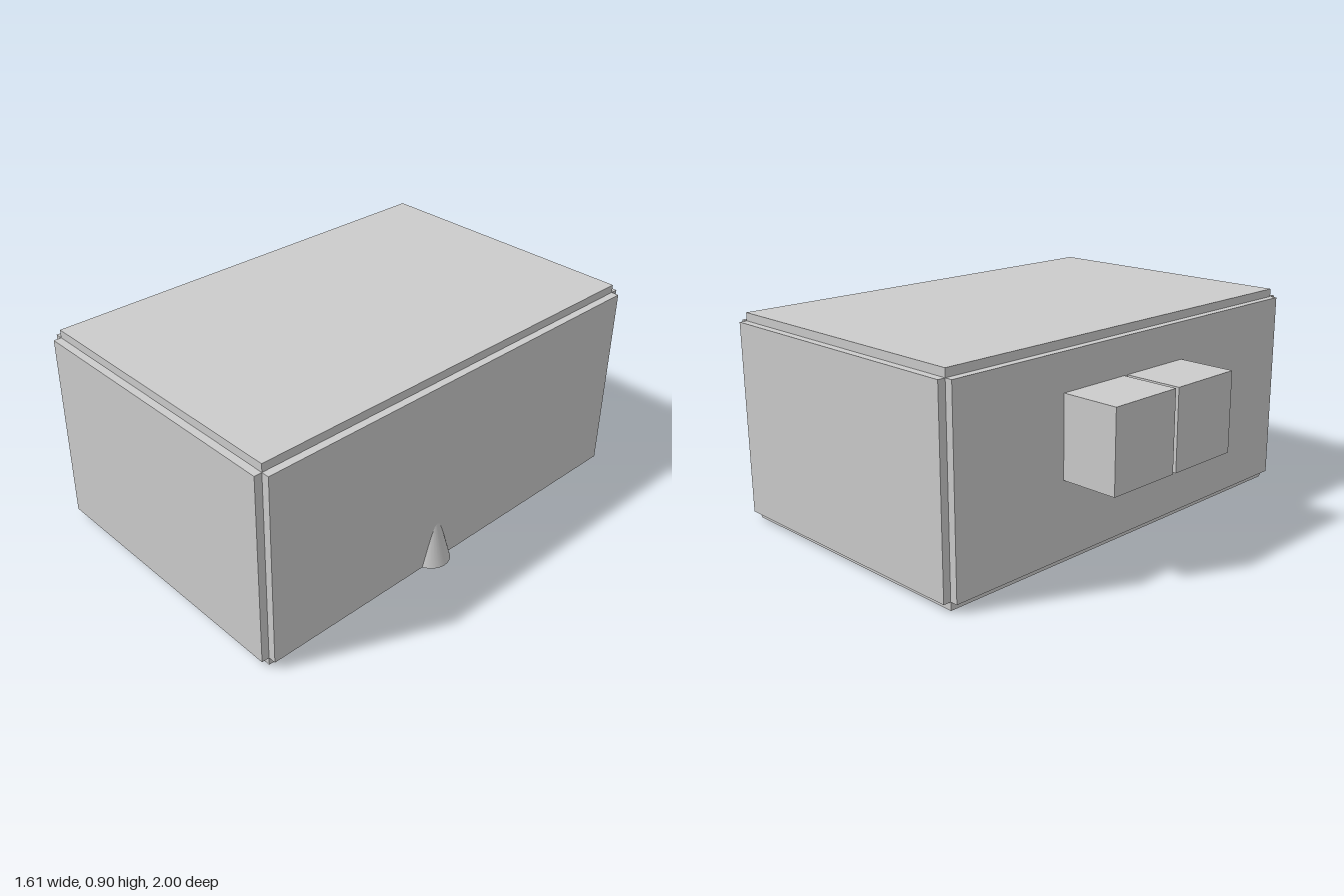
import * as THREE from 'three';

const material = new THREE.MeshStandardMaterial({ color: 0xcccccc });

// Box given by its minimum and maximum corners
function box(name, [x0, y0, z0], [x1, y1, z1]) {
  const mesh = new THREE.Mesh(new THREE.BoxGeometry(x1 - x0, y1 - y0, z1 - z0), material);
  mesh.name = name;
  mesh.position.set((x0 + x1) / 2, (y0 + y1) / 2, (z0 + z1) / 2);
  return mesh;
}

export function createModel() {
  const group = new THREE.Group();
  group.name = 'room';

  // Inner extents of the room and panel thickness
  const x0 = -0.52, x1 = 0.72, y0 = 0.035, y1 = 0.865, z = 0.967, t = 0.033;

  // Six panels that meet only along their inner edges, leaving stepped corners
  group.add(
    box('floor', [x0, 0, -z], [x1, y0, z]),
    box('ceiling', [x0, y1, -z], [x1, 0.9, z]),
    box('rightWall', [x0 - t, y0, -z], [x0, y1, z]),
    box('leftWall', [x1, y0, -z], [x1 + t, y1, z]),
    box('frontWall', [x0, y0, z], [x1, y1, 1]),
    box('backWall', [x0, y0, -1], [x1, y1, -z]),
  );

  // Pair of blocks projecting from the right wall
  for (const [name, back] of [['rearBlock', -0.42], ['frontBlock', -0.06]]) {
    group.add(box(name, [-0.808, 0.36, back], [x0 - t, 0.705, back + 0.342]));
  }

  // Cone standing at floor level, half sunk into the left wall
  const height = 0.29;
  const cone = new THREE.Mesh(new THREE.ConeGeometry(0.083, height, 32), material);
  cone.name = 'cone';
  cone.position.set(0.722, y0 + height / 2, 0.112);
  group.add(cone);

  return group;
}
